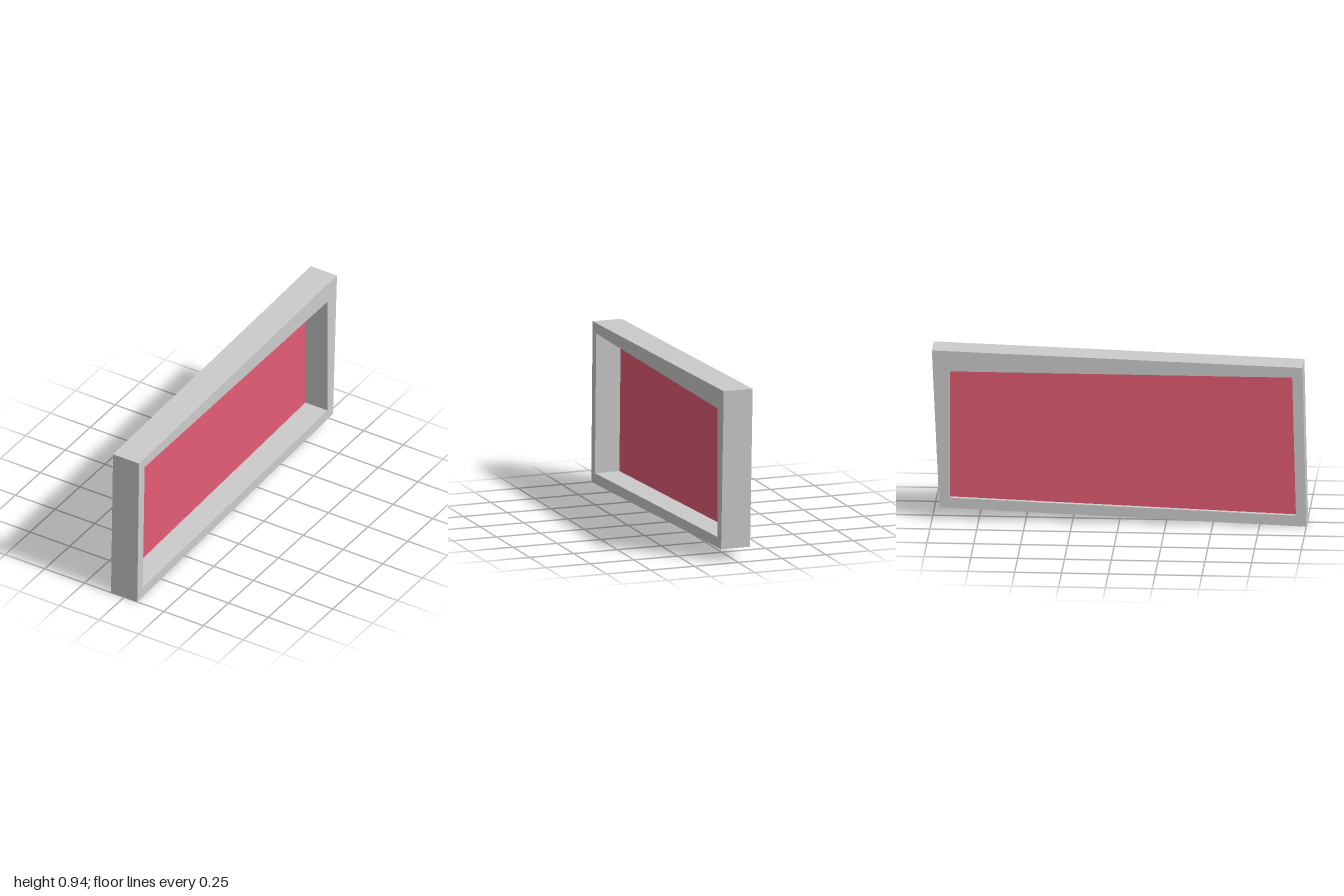
import * as THREE from 'three';

// Corners as [z, y], listed around the skewed outline
const OUTER = [[1, 0], [-0.96, 0.07], [-1, 0.945], [0.98, 0.885]];
const INNER = [[0.945, 0.06], [-0.905, 0.125], [-0.905, 0.83], [0.925, 0.83]];
const WIDTH = 0.165;
const PANEL_X = -0.057;

// Shapes are drawn in (-z, y), then turned to face +x
const toPoints = (corners) => corners.map(([z, y]) => new THREE.Vector2(-z, y));

export function createModel() {
  const group = new THREE.Group();

  // Skewed frame with an open centre
  const outline = new THREE.Shape(toPoints(OUTER));
  outline.holes.push(new THREE.Path(toPoints(INNER)));
  const frameGeometry = new THREE.ExtrudeGeometry(outline, { depth: WIDTH, bevelEnabled: false });
  frameGeometry.translate(0, 0, -WIDTH / 2).rotateY(Math.PI / 2);
  const frame = new THREE.Mesh(frameGeometry, new THREE.MeshStandardMaterial({ color: 0xcccccc }));
  frame.name = 'frame';
  group.add(frame);

  // Thin coloured panel, set towards the -x side of the frame
  const panelGeometry = new THREE.ShapeGeometry(new THREE.Shape(toPoints(INNER)));
  panelGeometry.rotateY(Math.PI / 2).translate(PANEL_X, 0, 0);
  const panel = new THREE.Mesh(
    panelGeometry,
    new THREE.MeshStandardMaterial({ color: 0xe45c74, side: THREE.DoubleSide })
  );
  panel.name = 'panel';
  group.add(panel);

  return group;
}
